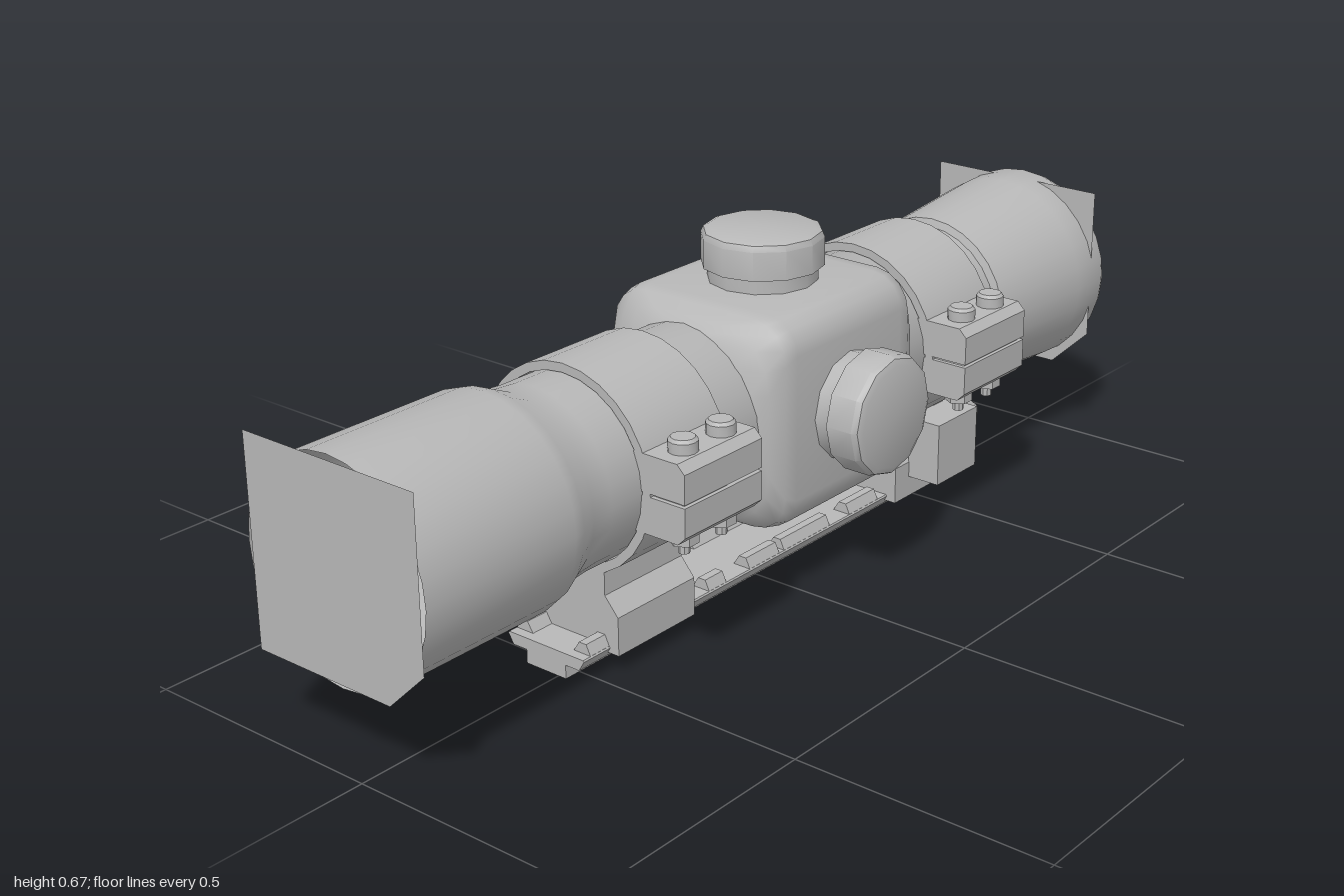
import * as THREE from 'three';
import { toCreasedNormals } from 'three/addons/utils/BufferGeometryUtils.js';

const CX = -0.033, CY = 0.367; // optical axis

export function createModel() {
  const group = new THREE.Group();
  const grey = new THREE.MeshStandardMaterial({ color: 0xb8b8b8, side: THREE.DoubleSide });
  grey.name = 'plain grey';

  const add = (name, geo, x = 0, y = 0, z = 0, crease = 0.6) => {
    const mesh = new THREE.Mesh(toCreasedNormals(geo, crease), grey);
    mesh.name = name;
    mesh.position.set(x, y, z);
    group.add(mesh);
    return mesh;
  };
  // profile of [radius, position] pairs turned around the chosen axis
  const turned = (pts, segs, axis) => {
    const g = new THREE.LatheGeometry(pts.map(p => new THREE.Vector2(p[0], p[1])), segs);
    if (axis === 'z') g.rotateX(Math.PI / 2);
    if (axis === 'x') g.rotateZ(-Math.PI / 2);
    return g;
  };
  const shapeOf = pts => new THREE.Shape(pts.map(p => new THREE.Vector2(p[0], p[1])));
  // cross-section in x, y extended from z0 to z1
  const bar = (pts, z0, z1) => new THREE.ExtrudeGeometry(shapeOf(pts),
    { depth: z1 - z0, bevelEnabled: false }).translate(0, 0, z0);

  // Main tube with eyepiece and objective bell
  add('opticTube', turned([
    [0.172, -0.95], [0.172, -0.985], [0.182, -1], [0.199, -1], [0.205, -0.985], [0.202, -0.9], [0.18, -0.64],
    [0.165, -0.635], [0.165, -0.5], [0.175, -0.48], [0.176, 0.54], [0.18, 0.59],
    [0.2, 0.635], [0.205, 0.66], [0.205, 0.997],
  ], 28, 'z'), CX, CY);

  // Flat lens plates with one cut corner
  const plate = [[-0.227, 0.17], [0.08, 0.17], [0.163, 0.25], [0.163, 0.563], [-0.227, 0.563]];
  add('frontLensPlate', new THREE.ShapeGeometry(shapeOf(plate)), 0, 0, 1);
  add('rearLensPlate', new THREE.ShapeGeometry(shapeOf(plate)).rotateY(Math.PI)
    .scale(-1, 1, 1), 0, 0, -0.955);

  // Turret housing: rounded-square sections lofted along z
  const sections = [ // z, half width, corner radius
    [-0.318, 0.168, 0.15], [-0.3, 0.188, 0.11], [-0.27, 0.203, 0.075], [-0.24, 0.206, 0.065],
    [0.075, 0.206, 0.065], [0.105, 0.203, 0.075], [0.135, 0.188, 0.11], [0.153, 0.168, 0.15],
  ];
  const per = 5, ring = per * 4, pos = [], idx = [];
  for (const [z, h, r] of sections) {
    for (let c = 0; c < 4; c++) for (let i = 0; i < per; i++) {
      const a = (c + i / (per - 1)) * Math.PI / 2;
      const sx = c === 0 || c === 3 ? 1 : -1, sy = c < 2 ? 1 : -1;
      pos.push(sx * (h - r) + r * Math.cos(a), sy * (h - r) + r * Math.sin(a), z);
    }
  }
  for (let k = 0; k < sections.length - 1; k++) for (let i = 0; i < ring; i++) {
    const a = k * ring + i, b = k * ring + (i + 1) % ring;
    idx.push(a, b, b + ring, a, b + ring, a + ring);
  }
  const housing = new THREE.BufferGeometry();
  housing.setAttribute('position', new THREE.Float32BufferAttribute(pos, 3));
  housing.setIndex(idx);
  add('turretHousing', housing, CX, CY - 0.002, 0, 0.8);

  // Adjustment knobs on the top and the side
  const knob = [[0.105, 0], [0.105, 0.04], [0.117, 0.04], [0.117, 0.095], [0.112, 0.106], [0.1, 0.111], [0, 0.111]];
  add('topKnob', turned(knob, 12, 'y'), CX, 0.56, -0.083);
  add('sideKnob', turned(knob, 12, 'x'), 0.167, CY, -0.083);

  // Two mounting rings, each with lugs, bolts and pedestal
  for (const z of [0.3625, -0.4725]) {
    const h = 0.1035;
    add('mountRing', turned([[0.178, -h], [0.195, -h], [0.195, h], [0.178, h], [0.178, -h]], 28, 'z'), CX, CY, z);
    for (const s of [1, -1]) {
      const lug = [[0.12, 0.003], [0.238, 0.003], [0.238, 0.058], [0.222, 0.074], [0.12, 0.074]]
        .map(([x, y]) => [x, 0.369 + s * y]);
      add('clampLug', bar(lug, z - h, z + h), 0, 0, 0, 0.3);
    }
    add('lugGasket', new THREE.BoxGeometry(0.1, 0.01, 0.19), 0.18, 0.369, z);
    for (const dz of [-0.05, 0.05]) {
      add('boltHead', turned([[0.027, 0], [0.027, 0.022], [0.022, 0.028], [0, 0.028]], 12, 'y'), 0.19, 0.441, z + dz);
      add('boltNut', new THREE.CylinderGeometry(0.027, 0.027, 0.024, 6), 0.19, 0.285, z + dz);
      add('boltEnd', new THREE.CylinderGeometry(0.011, 0.011, 0.03, 8), 0.19, 0.268, z + dz);
    }
    const left = [[0.113, 0.037], [0.113, 0.112], [0.083, 0.147], [0.083, 0.2]];
    const pedestal = [...left.map(([x, y]) => [CX + 0.002 + x, y]),
      ...left.slice().reverse().map(([x, y]) => [CX + 0.002 - x, y])];
    add('ringPedestal', bar(pedestal, z - h, z + h), 0, 0, 0, 0.3);
  }

  // Base rail with raised edge teeth
  const RX = -0.029;
  const half = [[0.047, 0], [0.047, 0.027], [0.079, 0.027], [0.091, 0.047], [0.089, 0.05]];
  add('baseRail', bar([...half.map(([x, y]) => [RX + x, y]),
    ...half.slice().reverse().map(([x, y]) => [RX - x, y])], -0.645, 0.535), 0, 0, 0, 0.3);
  const teeth = [[0.44, 0.515], [0.27, 0.34], [0.14, 0.19], [-0.02, 0.07], [-0.18, -0.035], [-0.34, -0.245],
    [-0.47, -0.4], [-0.62, -0.53]];
  for (const [z0, z1] of teeth) for (const s of [1, -1]) {
    const tooth = [[0.049, 0.049], [0.089, 0.049], [0.079, 0.07], [0.062, 0.07]].map(([x, y]) => [RX + s * x, y]);
    add('railTooth', bar(tooth, z0, z1), 0, 0, 0, 0.3);
  }

  // Switch box on the right of the rear mount
  add('switchBox', new THREE.BoxGeometry(0.072, 0.128, 0.135), 0.116, 0.144, -0.483);
  add('boxBracket', new THREE.BoxGeometry(0.06, 0.05, 0.1), 0.07, 0.16, -0.483);
  add('cableSocket', new THREE.BoxGeometry(0.03, 0.035, 0.035), 0.116, 0.165, -0.565);

  // Battery capsule on the other side
  add('batteryCapsule', turned([
    [0, -0.62], [0.014, -0.62], [0.014, -0.6], [0.04, -0.597], [0.05, -0.585], [0.05, -0.505], [0.04, -0.5],
    [0.04, -0.485], [0.054, -0.48], [0.054, -0.395], [0.045, -0.38], [0, -0.38],
  ], 14, 'z'), -0.227, 0.212, 0);
  add('capsuleArm', new THREE.BoxGeometry(0.13, 0.03, 0.08), -0.155, 0.185, -0.44);

  // Cable looping under the tube from box to capsule
  const path = new THREE.CatmullRomCurve3([
    [0.116, 0.165, -0.56], [0.1, 0.155, -0.62], [0.03, 0.135, -0.71], [-0.06, 0.125, -0.74],
    [-0.14, 0.127, -0.71], [-0.19, 0.16, -0.66], [-0.22, 0.2, -0.64], [-0.227, 0.212, -0.61],
  ].map(p => new THREE.Vector3(...p)));
  add('cable', new THREE.TubeGeometry(path, 28, 0.007, 6), 0, 0, 0, 1.2);

  return group;
}
